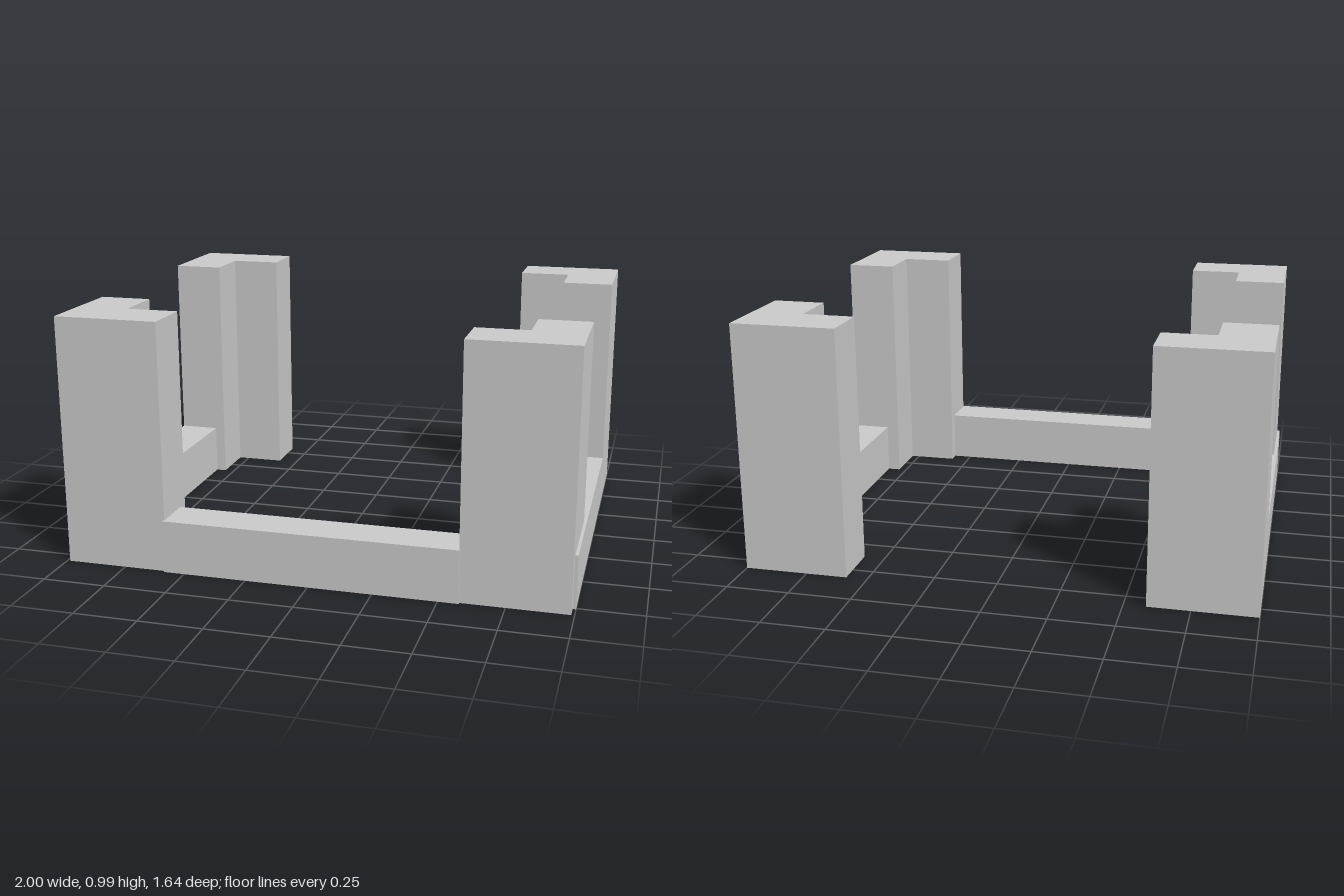
import * as THREE from 'three';

const material = new THREE.MeshStandardMaterial({ color: 0xcccccc, flatShading: true });
const POST_HEIGHT = 0.99, RAIL_HEIGHT = 0.21;

// Upright prism from a floor plan of [x, z] corners
function prism(name, plan, height) {
  const shape = new THREE.Shape(plan.map(([x, z]) => new THREE.Vector2(x, -z)));
  const geometry = new THREE.ExtrudeGeometry(shape, { depth: height, bevelEnabled: false });
  geometry.rotateX(-Math.PI / 2);
  const mesh = new THREE.Mesh(geometry, material);
  mesh.name = name;
  return mesh;
}

// L-shaped plan: outer corner (xo, zo), inner corner (xi, zi), arm ends (xe, ze)
const anglePlan = (xo, zo, xi, zi, xe, ze) =>
  [[xo, zo], [xe, zo], [xe, zi], [xi, zi], [xi, ze], [xo, ze]];

const rectPlan = (x0, x1, z0, z1) => [[x0, z0], [x1, z0], [x1, z1], [x0, z1]];

export function createModel() {
  const group = new THREE.Group();
  group.name = 'cornerPostFrame';

  for (const [side, s] of [['left', 1], ['right', -1]]) {
    // Angle posts at the front and back corners
    group.add(prism(side + 'FrontPost',
      anglePlan(s * 0.988, 0.81, s * 0.783, 0.604, s * 0.576, 0.4), POST_HEIGHT));
    group.add(prism(side + 'BackPost',
      anglePlan(s, -0.822, s * 0.793, -0.617, s * 0.585, -0.408), POST_HEIGHT));
    // Low side rail, running into the front post
    group.add(prism(side + 'Rail', rectPlan(s * 0.835, s, -0.408, 0.757), RAIL_HEIGHT));
  }

  // Low front rail between the posts; the back stays open
  group.add(prism('frontRail', rectPlan(-0.582, 0.58, 0.653, 0.82), RAIL_HEIGHT));
  return group;
}
